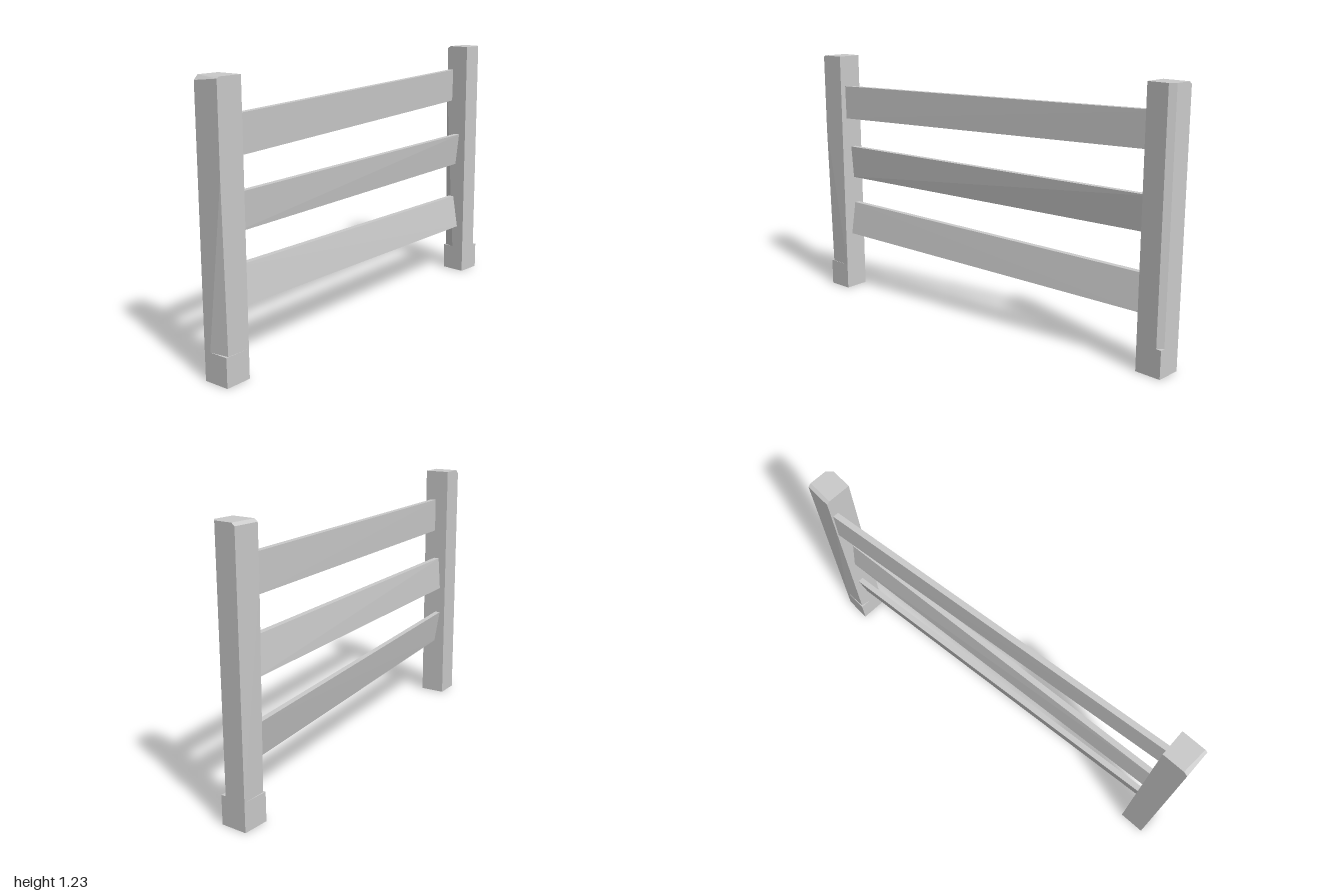
import * as THREE from 'three';
import { ConvexGeometry } from 'three/addons/geometries/ConvexGeometry.js';

const material = new THREE.MeshStandardMaterial({ color: 0xcccccc, flatShading: true });
const H = 0.062;      // half width of a post
const BASE = 0.13;    // height of the uncut foot
const TOP = 1.23;

// Flat-sided solid around a few corner points
function hull(name, points) {
  const mesh = new THREE.Mesh(new ConvexGeometry(points.map((p) => new THREE.Vector3(...p))), material);
  mesh.name = name;
  return mesh;
}

// Cross-section [x, z] pairs placed at height y
const ring = (y, pairs) => pairs.map(([x, z]) => [x, y, z]);

// Square foot with a hewn shaft above it
function post(name, z, turn, shaftPoints) {
  const group = new THREE.Group();
  group.name = name;
  const foot = new THREE.Mesh(new THREE.BoxGeometry(2 * H, BASE, 2 * H), material);
  foot.name = 'postFoot';
  foot.position.y = BASE / 2;
  group.add(foot, hull('postShaft', shaftPoints));
  group.position.z = z;
  group.rotation.y = turn;
  return group;
}

// Board between the posts; each end gives centre x at top and bottom, and y at top and bottom
function rail(name, front, back) {
  const t = 0.0135;
  const points = [];
  for (const [z, [xTop, xBottom, yTop, yBottom]] of [[0.9, front], [-0.9, back]]) {
    for (const s of [-t, t]) points.push([xTop + s, yTop, z], [xBottom + s, yBottom, z]);
  }
  return hull(name, points);
}

export function createModel() {
  const model = new THREE.Group();
  model.name = 'fence';

  // Front post: shallow cut on the outer face, bevelled top edge
  model.add(post('frontPost', 0.934, -0.045, [
    ...ring(BASE, [[-H, -H], [H, -H], [H - 0.003, H - 0.013], [-0.03, H], [-H, H]]),
    ...ring(0.85, [[H, H], [-H, H]]),
    ...ring(1.21, [[-H, H]]),
    ...ring(1.223, [[H, H]]),
    ...ring(TOP, [[-H, -H], [H, -H], [H, H - 0.012], [-H, H - 0.02]]),
  ]));

  // Back post: long chamfer on the outer corner, slight cut on the inner one
  const c = 0.024;
  model.add(post('backPost', -0.932, -0.12, [
    ...ring(BASE, [[-H, -H], [H - c, -H], [H, -H + c], [H, H], [-0.005, H], [-H + 0.006, H - 0.008]]),
    ...ring(1.0, [[-H, H]]),
    ...ring(1.218, [[-H, -H], [-H, H]]),
    ...ring(TOP, [[-H + 0.015, -H], [H - c, -H], [H, -H + c], [H, H], [-H + 0.015, H]]),
  ]));

  // Three crooked rails
  model.add(
    rail('topRail', [0.024, 0.022, 1.078, 0.912], [-0.047, -0.05, 1.106, 0.941]),
    rail('middleRail', [-0.004, -0.016, 0.762, 0.597], [0.002, -0.018, 0.762, 0.597]),
    rail('bottomRail', [-0.018, 0.01, 0.461, 0.295], [-0.028, 0.002, 0.414, 0.248]),
  );
  return model;
}
